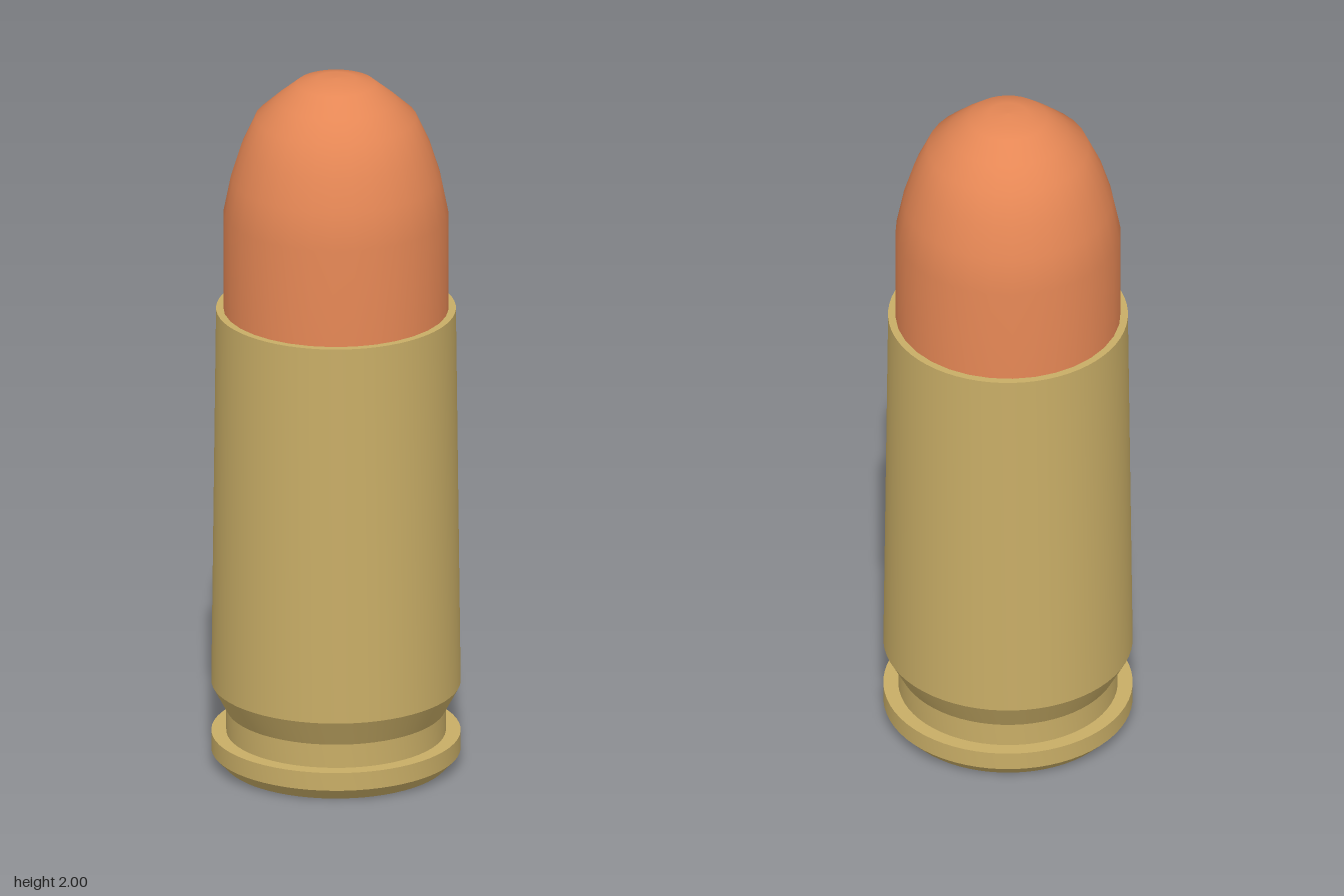
import * as THREE from 'three';
import { toCreasedNormals } from 'three/addons/utils/BufferGeometryUtils.js';

const BRASS = 0xc8ad66, COPPER = 0xe58755, STEEL = 0xcccccc;

// Revolves a [radius, height] profile, listed from the bottom up
function turned(name, profile, segments, color, crease) {
  let geometry = new THREE.LatheGeometry(profile.map(([r, y]) => new THREE.Vector2(r, y)), segments);
  if (crease) geometry = toCreasedNormals(geometry, crease);
  const mesh = new THREE.Mesh(geometry, new THREE.MeshStandardMaterial({ color }));
  mesh.name = name;
  return mesh;
}

export function createModel() {
  const model = new THREE.Group();
  model.name = 'cartridge';

  // Brass case: base, bevelled rim, extractor groove, slightly tapered wall and mouth
  model.add(turned('case', [
    [0.158, 0], [0.31, 0], [0.343, 0.035], [0.343, 0.087], [0.302, 0.087],
    [0.302, 0.155], [0.343, 0.232], [0.33, 1.325], [0.3, 1.325],
  ], 64, BRASS, 0.4));

  // Rounded copper tip seated in the mouth
  model.add(turned('bullet', [
    [0.31, 1.25], [0.31, 1.605], [0.289, 1.71], [0.261, 1.8], [0.222, 1.885],
    [0.165, 1.937], [0.108, 1.984], [0.055, 1.997], [0, 2],
  ], 32, COPPER));

  // Primer disc, flush with the base
  const primer = new THREE.Mesh(
    new THREE.CircleGeometry(0.158, 64).rotateX(Math.PI / 2),
    new THREE.MeshStandardMaterial({ color: STEEL }),
  );
  primer.name = 'primer';
  model.add(primer);

  return model;
}
